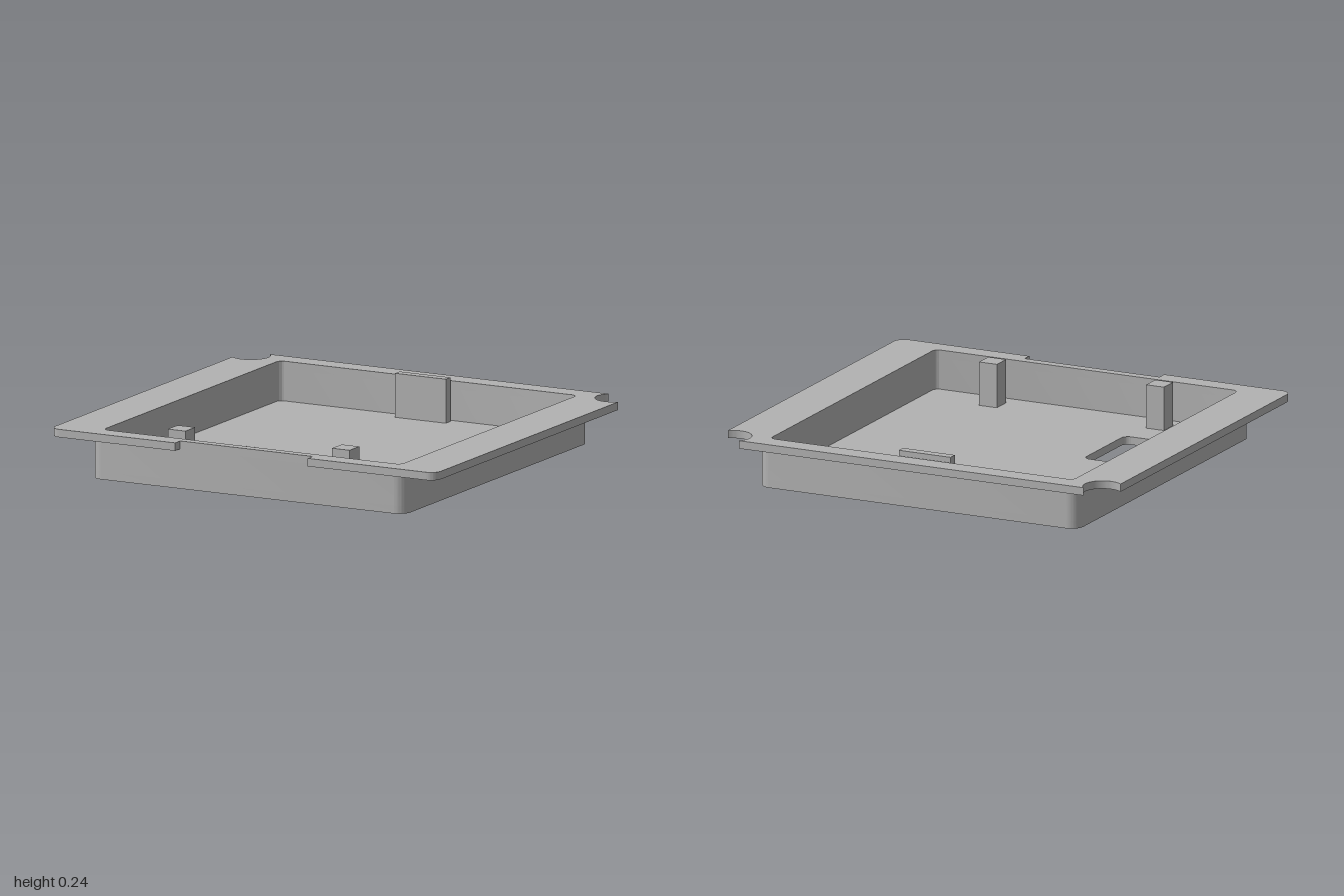
import * as THREE from 'three';
import { toCreasedNormals } from 'three/addons/utils/BufferGeometryUtils.js';

const FLOOR = 0.037, LIP = 0.185, TOP = 0.222;

// Rounded rectangle outline on the ground plane (x, z)
function roundedRect(Type, x0, x1, z0, z1, r) {
  const p = new Type();
  p.moveTo(x0 + r, z0);
  p.lineTo(x1 - r, z0);
  p.absarc(x1 - r, z0 + r, r, -Math.PI / 2, 0);
  p.lineTo(x1, z1 - r);
  p.absarc(x1 - r, z1 - r, r, 0, Math.PI / 2);
  p.lineTo(x0 + r, z1);
  p.absarc(x0 + r, z1 - r, r, Math.PI / 2, Math.PI);
  p.lineTo(x0, z0 + r);
  p.absarc(x0 + r, z0 + r, r, Math.PI, Math.PI * 1.5);
  return p;
}

// Extrude an (x, z) outline vertically between two heights
function slab(shape, y0, y1) {
  const g = new THREE.ExtrudeGeometry(shape, { depth: y1 - y0, bevelEnabled: false, curveSegments: 16 });
  g.rotateX(Math.PI / 2);
  g.translate(0, y1, 0);
  return toCreasedNormals(g, 0.6);
}

// Flange outline: round bites at the back corners, wide notch at the front
function flangeShape() {
  const s = new THREE.Shape(), Z = 0.932, r = 0.05;
  const cx = 0.943, cz = -0.87, cr = 0.09;
  const a = Math.PI - Math.acos((1 - cx) / cr);
  const b = Math.asin((Z + cz) / cr);
  s.moveTo(-0.35, 0.885);
  s.lineTo(-0.35, Z);
  s.lineTo(-1 + r, Z);
  s.absarc(-1 + r, Z - r, r, Math.PI / 2, Math.PI);
  s.absarc(-cx, cz, cr, a, -b, true);
  s.absarc(cx, cz, cr, Math.PI + b, Math.PI - a, true);
  s.lineTo(1, Z - r);
  s.absarc(1 - r, Z - r, r, 0, Math.PI / 2);
  s.lineTo(0.337, Z);
  s.lineTo(0.337, 0.885);
  s.closePath();
  return s;
}

export function createModel() {
  const group = new THREE.Group();
  const grey = new THREE.MeshStandardMaterial({ color: 0xb2b2b2 });
  grey.name = 'grey';
  const add = (name, geometry) => {
    const m = new THREE.Mesh(geometry, grey);
    m.name = name;
    group.add(m);
    return m;
  };
  const outer = () => roundedRect(THREE.Shape, -0.817, 0.812, -0.873, 0.885, 0.06);
  const cavity = () => roundedRect(THREE.Path, -0.775, 0.77, -0.833, 0.84, 0.03);

  // Tray floor with a rounded slot
  const floor = outer();
  floor.holes.push(roundedRect(THREE.Path, -0.508, -0.358, 0.097, 0.515, 0.035));
  add('trayFloor', slab(floor, 0, FLOOR));

  // Tray side walls
  const walls = outer();
  walls.holes.push(cavity());
  add('trayWalls', slab(walls, FLOOR, LIP));

  // Flange around the rim
  const flange = flangeShape();
  flange.holes.push(cavity());
  add('flange', slab(flange, LIP, TOP));

  // Upright posts and rear tab standing on the floor
  const block = (name, x0, x1, z0, z1) => {
    const h = 0.242 - FLOOR;
    add(name, new THREE.BoxGeometry(x1 - x0, h, z1 - z0))
      .position.set((x0 + x1) / 2, FLOOR + h / 2, (z0 + z1) / 2);
  };
  block('rightPost', -0.477, -0.386, 0.677, 0.77);
  block('leftPost', 0.374, 0.465, 0.677, 0.77);
  block('rearTab', -0.14, 0.124, -0.812, -0.768);

  return group;
}
